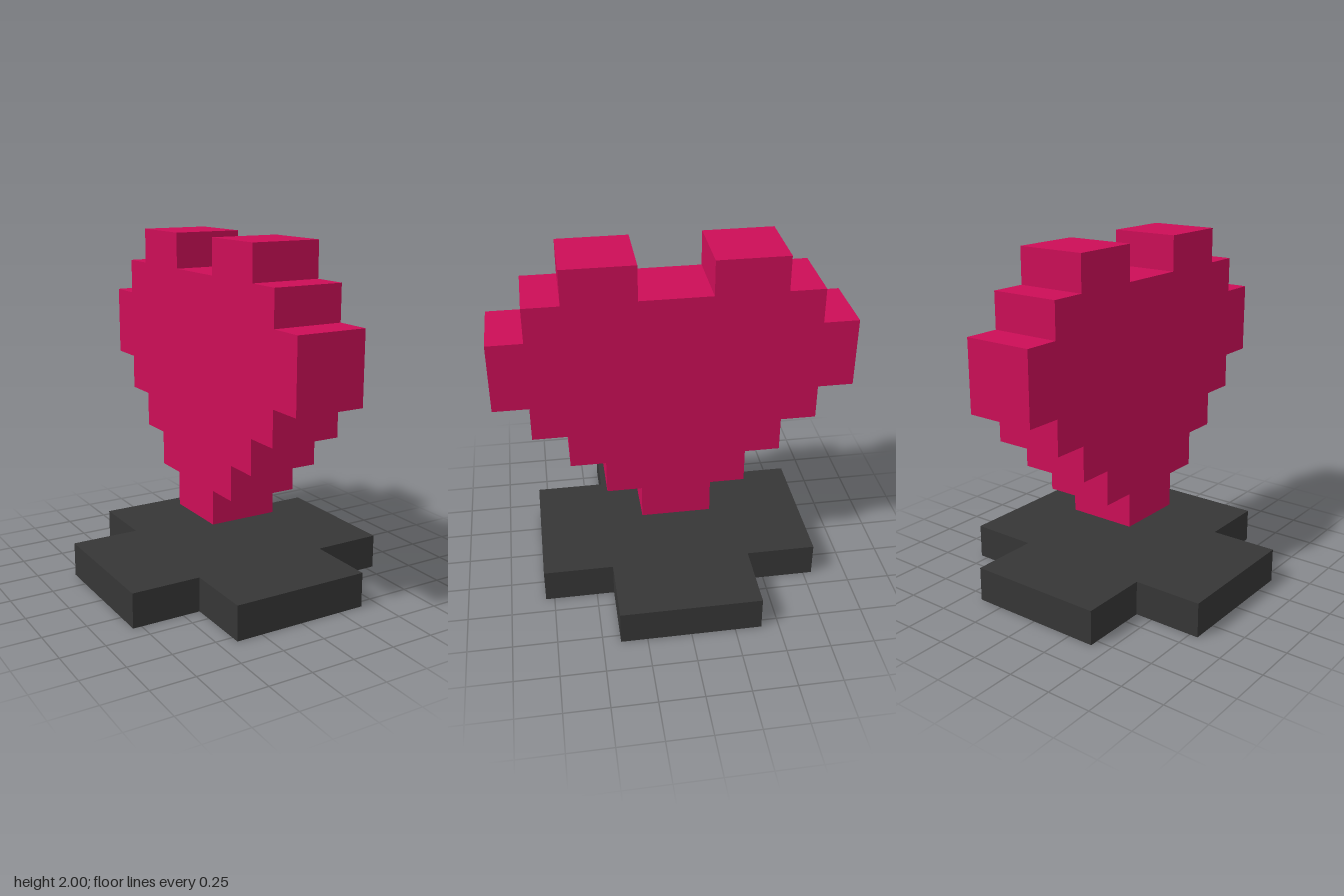
import * as THREE from 'three';

// Mirrors half an outline (u >= 0, listed bottom to top) and extrudes it, centred on depth.
function mirroredSlab(half, depth) {
  const mirrored = half.map(([u, v]) => [-u, v]).reverse();
  const shape = new THREE.Shape([...half, ...mirrored].map(([u, v]) => new THREE.Vector2(u, v)));
  return new THREE.ExtrudeGeometry(shape, { depth, bevelEnabled: false }).translate(0, 0, -depth / 2);
}

export function createModel() {
  const group = new THREE.Group();
  const crimson = new THREE.MeshStandardMaterial({ color: 0xcc0e57 });
  crimson.name = 'crimson';
  const charcoal = new THREE.MeshStandardMaterial({ color: 0x363636 });
  charcoal.name = 'charcoal';

  // Stepped heart, floating above the base and facing sideways
  const heartHalf = [
    [0.2, 0.4], [0.2, 0.6], [0.4, 0.6], [0.4, 0.8], [0.6, 0.8], [0.6, 1], [0.8, 1], [0.8, 1.2],
    [1, 1.2], [1, 1.6], [0.8, 1.6], [0.8, 1.8], [0.6, 1.8], [0.6, 2], [0.2, 2], [0.2, 1.8],
  ];
  const heart = new THREE.Mesh(mirroredSlab(heartHalf, 0.4).rotateY(-Math.PI / 2), crimson);
  heart.name = 'heart';

  // Cross-shaped base plate
  const baseHalf = [[0.4, -0.8], [0.4, -0.4], [0.8, -0.4], [0.8, 0.4], [0.4, 0.4], [0.4, 0.8]];
  const base = new THREE.Mesh(mirroredSlab(baseHalf, 0.2).rotateX(-Math.PI / 2), charcoal);
  base.position.y = 0.1;
  base.name = 'base';

  group.add(heart, base);
  return group;
}
